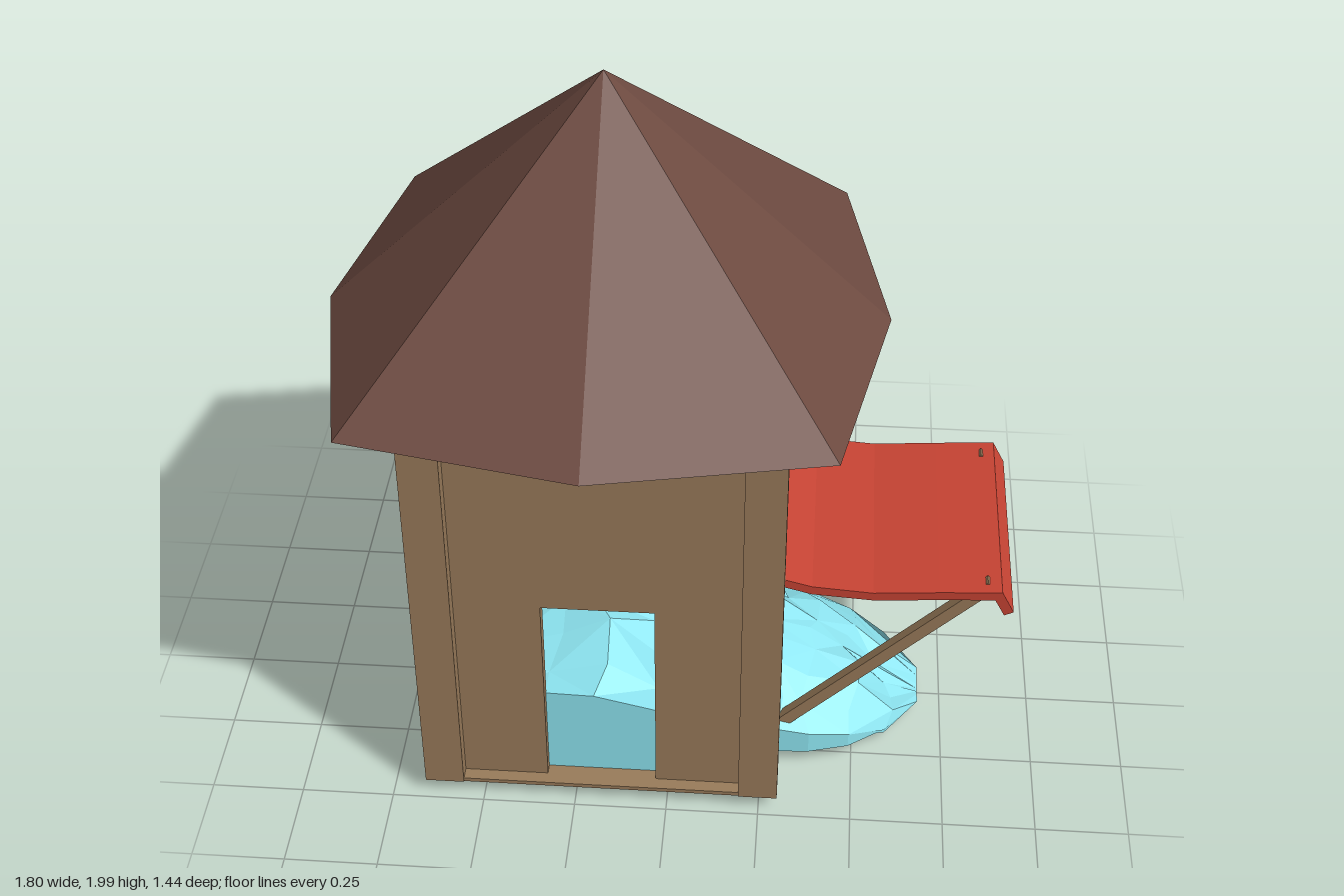
import * as THREE from 'three';

const CX = -0.18;        // tower centre on x
const FLOOR = 0.05, EAVES = 1.312;
const HALF = 0.48, POST = 0.105, INSET = 0.04, WALL = 0.04;

const paint = (color) => new THREE.MeshStandardMaterial({ color, flatShading: true, side: THREE.DoubleSide });
const wood = paint(0x9a7c5b), roofBrown = paint(0x6d4a40), red = paint(0xc84434), ice = paint(0x8ee6f2);

function add(parent, name, geometry, material, x = 0, y = 0, z = 0) {
  const mesh = new THREE.Mesh(geometry, material);
  mesh.name = name;
  mesh.position.set(x, y, z);
  parent.add(mesh);
  return mesh;
}

// Flat wall facing +z, with an optional doorway cut up from its foot
function wallGeometry(door) {
  const w = HALF - INSET;
  const s = new THREE.Shape();
  s.moveTo(-w, FLOOR);
  if (door) {
    s.lineTo(-door.half, FLOOR);
    s.lineTo(-door.half, door.top);
    s.lineTo(door.half, door.top);
    s.lineTo(door.half, FLOOR);
  }
  s.lineTo(w, FLOOR);
  s.lineTo(w, EAVES);
  s.lineTo(-w, EAVES);
  s.closePath();
  const g = new THREE.ExtrudeGeometry(s, { depth: WALL, bevelEnabled: false });
  return g.translate(0, 0, w - WALL);
}

// Eight-sided roof whose corners reach out further than its mid sides
function roofGeometry() {
  const p = [], rim = [];
  for (let i = 0; i < 8; i++) {
    const a = i * Math.PI / 4, r = i % 2 ? 0.849 : 0.72;
    rim.push([Math.sin(a) * r, EAVES, Math.cos(a) * r]);
  }
  for (let i = 0; i < 8; i++) {
    const a = rim[i], b = rim[(i + 1) % 8];
    p.push(...a, ...b, 0, 2, 0, ...b, ...a, 0, EAVES, 0);
  }
  const g = new THREE.BufferGeometry();
  g.setAttribute('position', new THREE.Float32BufferAttribute(p, 3));
  g.computeVertexNormals();
  return g;
}

// Jagged heap: cross-sections along x, each [x, half width, height]
function heapGeometry() {
  const sections = [
    [-0.58, 0.41, 0.38], [-0.46, 0.41, 0.39], [-0.33, 0.41, 0.4], [-0.2, 0.41, 0.43],
    [-0.05, 0.41, 0.37], [0.08, 0.41, 0.35], [0.2, 0.36, 0.32], [0.29, 0.305, 0.27],
    [0.38, 0.3, 0.22], [0.49, 0.27, 0.17], [0.59, 0.2, 0.09], [0.685, 0.07, 0.035],
  ];
  const N = 8, p = [], index = [];
  let seed = 11;
  const rand = () => { seed = (seed * 16807) % 2147483647; return seed / 2147483647 - 0.5; };
  sections.forEach(([x, w, h], i) => {
    const outside = x > 0.25;
    for (let j = 0; j <= N + 2; j++) {
      const skirt = j === 0 || j === N + 2;
      const u = THREE.MathUtils.clamp((j - 1) / N, 0, 1) * 2 - 1;
      const edge = Math.abs(u) === 1, last = i === sections.length - 1;
      const jx = edge || i === 0 || x > 0.6 ? 0 : rand() * 0.06;
      const jz = edge ? 0 : rand() * 0.04;
      let y = outside ? h * (1 - 0.5 * u * u) + rand() * 0.03 : h - u * 0.09 + rand() * 0.06;
      if (outside) y = Math.min(y, h + 0.01);
      if (skirt) y = FLOOR + 0.002;
      if (last) y = 0.025 + 0.015 * Math.abs(u);
      p.push(x + jx, Math.max(y, 0.022), u * w + jz);
    }
  });
  const row = N + 3;
  for (let i = 0; i < sections.length - 1; i++) {
    for (let j = 0; j < row - 1; j++) {
      const a = i * row + j, b = a + 1, c = a + row, d = c + 1;
      if ((i + j) % 2) index.push(a, b, c, b, d, c);
      else index.push(a, b, d, a, d, c);
    }
  }
  const g = new THREE.BufferGeometry();
  g.setAttribute('position', new THREE.Float32BufferAttribute(p, 3));
  g.setIndex(index);
  g.computeVertexNormals();
  return g;
}

// Sagging awning with a folded front flap, extruded across z
function awningGeometry() {
  const top = [[0.27, 0.703], [0.37, 0.676], [0.53, 0.664], [0.7, 0.677], [0.862, 0.687], [0.896, 0.621]];
  const under = [[0.872, 0.609], [0.845, 0.66], [0.7, 0.651], [0.53, 0.639], [0.37, 0.65], [0.27, 0.677]];
  const s = new THREE.Shape([...top, ...under].map(([x, y]) => new THREE.Vector2(x, y)));
  return new THREE.ExtrudeGeometry(s, { depth: 0.63, bevelEnabled: false }).translate(0, 0, -0.315);
}

export function createModel() {
  const model = new THREE.Group();
  model.name = 'marketTower';

  // Tower body
  const tower = new THREE.Group();
  tower.name = 'tower';
  tower.position.x = CX;
  model.add(tower);
  add(tower, 'floor', new THREE.BoxGeometry(2 * HALF - 0.01, 0.012, 2 * HALF - 0.01), wood, 0, FLOOR + 0.004, 0);
  const walls = [
    ['frontWall', { half: 0.148, top: 0.67 }], ['leftWall', { half: 0.315, top: 0.65 }],
    ['backWall', null], ['rightWall', null],
  ];
  walls.forEach(([name, door], i) => {
    add(tower, name, wallGeometry(door), wood).rotation.y = i * Math.PI / 2;
  });
  const postGeometry = new THREE.BoxGeometry(POST, EAVES - FLOOR, POST);
  const o = HALF - POST / 2;
  for (const sx of [-1, 1]) for (const sz of [-1, 1]) {
    add(tower, 'cornerPost', postGeometry, wood, sx * o, (EAVES + FLOOR) / 2, sz * o);
  }
  add(tower, 'roof', roofGeometry(), roofBrown);

  // Awning and its slanted poles
  add(model, 'awning', awningGeometry(), red);
  const from = new THREE.Vector2(0.18, 0.018), to = new THREE.Vector2(0.838, 0.678);
  const span = to.clone().sub(from);
  for (const s of [-1, 1]) {
    const pole = add(model, 'awningPole', new THREE.BoxGeometry(span.length(), 0.034, 0.03), wood,
      (from.x + to.x) / 2, (from.y + to.y) / 2, s * 0.268);
    pole.rotation.z = span.angle();
  }

  // Heap spilling out of the side opening
  add(model, 'heap', heapGeometry(), ice);

  // Stand the model on the ground
  model.position.y = -new THREE.Box3().setFromObject(model, true).min.y;
  return model;
}
